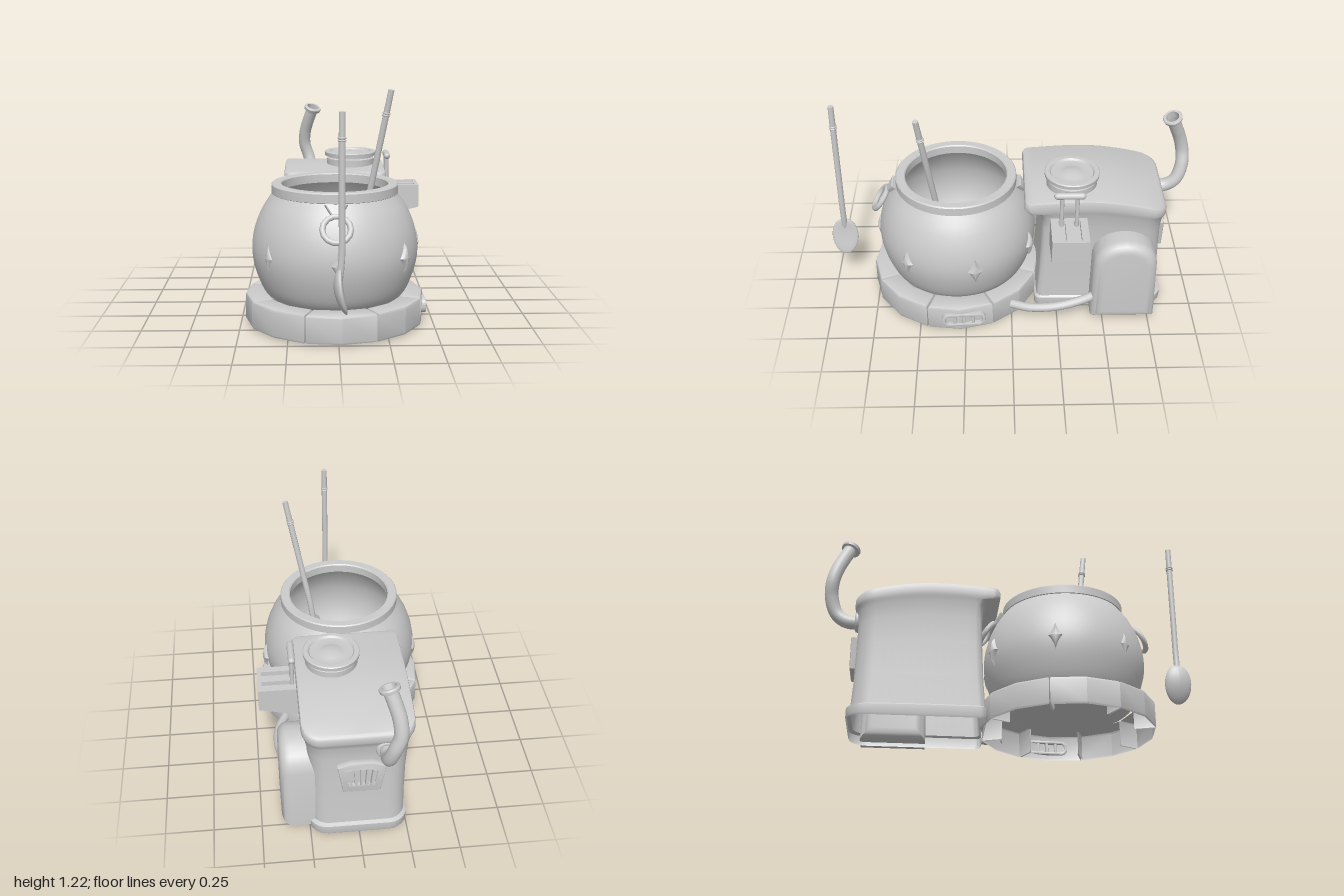
import * as THREE from 'three';
import { toCreasedNormals } from 'three/addons/utils/BufferGeometryUtils.js';
import { RoundedBoxGeometry } from 'three/addons/geometries/RoundedBoxGeometry.js';

const mat = new THREE.MeshStandardMaterial({ color: 0xcccccc, side: THREE.DoubleSide });
const V = (x, y, z) => new THREE.Vector3(x, y, z);

function add(parent, name, geo, x = 0, y = 0, z = 0) {
  const m = new THREE.Mesh(geo, mat);
  m.name = name;
  m.position.set(x, y, z);
  parent.add(m);
  return m;
}
function group(parent, name, x = 0, y = 0, z = 0) {
  const g = new THREE.Group();
  g.name = name;
  g.position.set(x, y, z);
  parent.add(g);
  return g;
}
const vec2s = pts => pts.map(p => new THREE.Vector2(...p));
const poly = pts => new THREE.Shape(vec2s(pts));
const lathe = (pts, n = 48) => toCreasedNormals(new THREE.LatheGeometry(vec2s(pts), n), 0.6);
const tube = (pts, r, n = 32, sides = 14) =>
  new THREE.TubeGeometry(new THREE.CatmullRomCurve3(pts), n, r, sides);

// Extrusion of total thickness d, centred on z = 0, with the bevel kept inside the outline
function slab(shape, d, bevel = 0, segs = 3, crease = 0.6) {
  const geo = new THREE.ExtrudeGeometry(shape, {
    depth: d - 2 * bevel, bevelEnabled: bevel > 0, bevelThickness: bevel,
    bevelSize: bevel, bevelOffset: -bevel, bevelSegments: segs, curveSegments: 10,
  });
  geo.translate(0, 0, bevel - d / 2);
  return toCreasedNormals(geo, crease);
}
function roundedRect(w, h, r, Type = THREE.Shape) {
  const s = new Type(), x = w / 2, y = h / 2;
  s.absarc(x - r, y - r, r, 0, Math.PI / 2);
  s.absarc(-x + r, y - r, r, Math.PI / 2, Math.PI);
  s.absarc(-x + r, -y + r, r, Math.PI, Math.PI * 1.5);
  s.absarc(x - r, -y + r, r, Math.PI * 1.5, Math.PI * 2);
  return s;
}

// Loft, open below, through rounded-rectangle levels [height factor, half width, front z, back z]
function loft(levels, topY) {
  const ring = ([f, w, zf, zb], xScale = 1) => {
    const pts = [], rf = 0.035, rb = 0.095, n = 6, sides = 12;
    for (let i = n; i > 0; i--) {
      const a = i / n * Math.PI / 2;
      pts.push([w - rf + rf * Math.cos(a), zf - rf + rf * Math.sin(a)]);
    }
    for (let i = 0; i < sides; i++) pts.push([w, zf - rf + (zb + rb - zf + rf) * i / sides]);
    for (let i = 0; i <= n; i++) {
      const a = i / n * Math.PI / 2;
      pts.push([w - rb + rb * Math.cos(a), zb + rb - rb * Math.sin(a)]);
    }
    const left = pts.slice().reverse().map(([x, z]) => [-x, z]);
    return [...pts, ...left].map(([x, z]) => [x * xScale, f * topY(z), z]);
  };
  const rings = [...levels.map(l => ring(l)), ring(levels[levels.length - 1], 0)];
  const n = rings[0].length, index = [];
  for (let i = 0; i < rings.length - 1; i++)
    for (let j = 0; j < n; j++) {
      const a = i * n + j, b = i * n + (j + 1) % n;
      index.push(a, b, a + n, b, b + n, a + n);
    }
  const geo = new THREE.BufferGeometry();
  geo.setAttribute('position', new THREE.Float32BufferAttribute(rings.flat(2), 3));
  geo.setIndex(index);
  return toCreasedNormals(geo, 0.7);
}

function buildPot(root) {
  const pot = group(root, 'cauldron', -0.01, 0, 0.296);
  const outer = new THREE.SplineCurve(vec2s([[0, 0.09], [0.2, 0.1], [0.3, 0.125], [0.365, 0.165], [0.411, 0.27],
    [0.431, 0.38], [0.418, 0.49], [0.378, 0.595], [0.322, 0.68]])).getPoints(36).map(p => [Math.max(p.x, 0), p.y]);
  const inner = [[0.28, 0.68], [0.35, 0.59], [0.39, 0.49], [0.4, 0.38], [0.38, 0.28], [0.32, 0.18], [0.2, 0.13], [0, 0.12]];
  add(pot, 'potBody', lathe(outer));
  add(pot, 'potInside', lathe(inner));
  add(pot, 'potRim', lathe([[0.275, 0.68], [0.32, 0.675], [0.328, 0.68], [0.328, 0.724], [0.322, 0.73],
    [0.281, 0.73], [0.275, 0.724], [0.275, 0.68]]));

  // Seven puffy four-pointed stars that follow the curve of the pot
  const starGeo = new THREE.RingGeometry(0.001, 1, 48, 5);
  const p = starGeo.attributes.position;
  const pinch = c => Math.sign(c) * Math.abs(c) ** 2.5;
  for (let i = 0; i < p.count; i++) {
    const r = Math.hypot(p.getX(i), p.getY(i));
    const x = 0.041 * r * pinch(p.getX(i) / r), y = 0.08 * r * pinch(p.getY(i) / r);
    p.setXYZ(i, x, y, 0.02 * Math.sqrt(Math.max(0, 1 - r * r)) - 1.2 * (x * x + y * y));
  }
  starGeo.computeVertexNormals();
  for (let i = 0; i < 7; i++) {
    const a = i * Math.PI * 2 / 7;
    add(pot, 'star', starGeo, 0.008 + Math.sin(a) * 0.43, 0.39, -0.007 + Math.cos(a) * 0.43).rotation.y = a;
  }

  // Hanging rings front and back
  for (const a of [0, Math.PI]) {
    const h = group(pot, 'ringHandle');
    h.rotation.y = a;
    const plate = slab(poly([[-0.056, 0.03], [0.056, 0.03], [0.022, -0.03], [-0.022, -0.03]]), 0.035, 0.006, 1);
    add(h, 'bracket', plate, 0, 0.648, 0.352).rotation.x = -0.6;
    add(h, 'ring', new THREE.TorusGeometry(0.069, 0.015, 8, 14), 0, 0.571, 0.418).rotation.x = -0.6;
  }
}

// Keeps only the triangles whose normal and centre pass the test
function keepFaces(geo, test) {
  const src = geo.attributes.position, tri = new THREE.Triangle(), out = [];
  const n = V(0, 0, 0), c = V(0, 0, 0);
  for (let i = 0; i < src.count; i += 3) {
    tri.setFromAttributeAndIndices(src, i, i + 1, i + 2);
    if (test(tri.getNormal(n), tri.getMidpoint(c))) out.push(...tri.a, ...tri.b, ...tri.c);
  }
  const res = new THREE.BufferGeometry();
  res.setAttribute('position', new THREE.Float32BufferAttribute(out, 3));
  return res;
}

function buildBase(root) {
  const base = group(root, 'baseRing', -0.012, 0, 0.306);
  const at = (a, r) => [Math.sin(a) * r, -Math.cos(a) * r];
  // Eight hollow blocks, each bent once in the middle, open below and towards the pot
  for (let i = 0; i < 8; i++) {
    const a0 = (-64 + 45 * i) * Math.PI / 180, s = Math.PI / 8, g = 0.006;
    const block = slab(poly([at(a0 + g, 0.466), at(a0 + s, 0.466), at(a0 + 2 * s - g, 0.466),
      at(a0 + 2 * s - g, 0.353), at(a0 + s, 0.353), at(a0 + g, 0.353)]), 0.148, 0.013, 2, 0.5);
    block.rotateX(-Math.PI / 2);
    const shell = keepFaces(block, (n, c) => n.y > -0.9 && n.x * c.x + n.z * c.z > -0.25);
    add(base, 'baseBlock', toCreasedNormals(shell, 0.5), 0, 0.081, 0);
  }
  // Vent on the side block
  const vent = group(root, 'baseVent', 0.445, 0.082, 0.26);
  vent.rotation.y = Math.PI / 2 + 0.06;
  const frame = roundedRect(0.235, 0.08, 0.035);
  frame.holes.push(roundedRect(0.2, 0.048, 0.022, THREE.Path));
  add(vent, 'ventFrame', slab(frame, 0.03, 0.005, 2));
  for (const x of [-0.05, 0, 0.05]) add(vent, 'ventBar', new RoundedBoxGeometry(0.016, 0.06, 0.024, 2, 0.005), x);
}

function buildTank(root) {
  const tank = group(root, 'heater');
  // Top line: a short rise behind the lip, then a curved fall to the back
  const topY = z => 0.734 - 0.075 * Math.max(0, (-z - 0.42) / 0.4) ** 1.7 - 0.07 * Math.max(0, 0.3 + z);
  // Foot, waisted wall, overhanging lip and top
  add(tank, 'heaterShell', loft([
    [0, 0.25, -0.134, -0.836], [0.016, 0.254, -0.13, -0.84], [0.08, 0.254, -0.13, -0.84],
    [0.092, 0.244, -0.14, -0.82], [0.3, 0.243, -0.152, -0.812], [0.55, 0.246, -0.16, -0.808],
    [0.75, 0.256, -0.163, -0.806], [0.86, 0.269, -0.158, -0.81], [0.895, 0.277, -0.135, -0.817],
    [0.908, 0.28, -0.085, -0.821], [0.93, 0.283, -0.07, -0.826], [0.975, 0.283, -0.07, -0.826],
    [0.993, 0.279, -0.075, -0.821], [1, 0.268, -0.087, -0.81]], topY));

  add(tank, 'fillerCap', lathe([[0.135, 0.7], [0.135, 0.765], [0.125, 0.77], [0.125, 0.778], [0.145, 0.78], [0.147, 0.8],
    [0.142, 0.805], [0.12, 0.805], [0.112, 0.795], [0.068, 0.79], [0.055, 0.795], [0.03, 0.801], [0, 0.803]]), 0.092, 0, -0.325);

  // Rear grille
  const grille = group(tank, 'rearGrille', -0.01, 0.395, -0.822);
  const frame = poly([[-0.122, 0.07], [-0.055, 0.095], [0.055, 0.095], [0.122, 0.07], [0.095, -0.095], [-0.095, -0.095]]);
  frame.holes.push(new THREE.Path(vec2s([[-0.09, 0.045], [-0.045, 0.062], [0.045, 0.062], [0.09, 0.045], [0.07, -0.065], [-0.07, -0.065]])));
  add(grille, 'grilleFrame', slab(frame, 0.04, 0.008, 2));
  for (let i = -2; i <= 2; i++)
    add(grille, 'grilleBar', new THREE.BoxGeometry(0.015, 0.135, 0.026), i * 0.03).rotation.z = -i * 0.06;

  // Chimney
  const pts = [V(-0.135, 0.55, -0.77), V(-0.132, 0.552, -0.865), V(-0.13, 0.595, -0.925), V(-0.15, 0.68, -0.956),
    V(-0.175, 0.76, -0.955), V(-0.172, 0.84, -0.935), V(-0.15, 0.92, -0.905), V(-0.127, 0.985, -0.879)];
  add(tank, 'chimneyPipe', tube(pts, 0.036, 40, 18));
  add(tank, 'chimneyCollar', new THREE.TorusGeometry(0.042, 0.014, 10, 24), -0.135, 0.55, -0.812);
  const mouth = lathe([[0.032, -0.03], [0.038, -0.014], [0.05, -0.011], [0.053, 0.004], [0.048, 0.011], [0.036, 0.011], [0.032, -0.03]], 24);
  add(tank, 'chimneyMouth', mouth, -0.125, 0.993, -0.876)
    .quaternion.setFromUnitVectors(V(0, 1, 0), V(0.022, 0.075, 0.026).normalize());
}

function buildSideParts(root) {
  // Arched tank on the left flank
  const s = new THREE.Shape();
  s.moveTo(-0.175, -0.25);
  s.lineTo(0.175, -0.25);
  s.lineTo(0.17, 0.11);
  s.bezierCurveTo(0.157, 0.3, -0.157, 0.3, -0.17, 0.11);
  const bottle = slab(s, 0.23, 0.055, 6, 0.8);
  bottle.rotateY(Math.PI / 2);
  add(root, 'sideTank', bottle, 0.279, 0.272, -0.607);
  add(root, 'fuelPipe', tube([V(0.33, 0.15, -0.47), V(0.365, 0.135, -0.38), V(0.385, 0.11, -0.24),
    V(0.37, 0.092, -0.1), V(0.33, 0.085, 0)], 0.024));

  // Slotted box with sloped underside
  const box = group(root, 'slottedBox', 0, 0, -0.302);
  add(box, 'boxBody', slab(poly([[0.22, 0.595], [0.478, 0.595], [0.478, 0.495], [0.22, 0.436]]), 0.195));
  const top = poly([[0.22, -0.0975], [0.478, -0.0975], [0.478, 0.0975], [0.22, 0.0975]]);
  for (const z of [-0.04, 0.04])
    top.holes.push(new THREE.Path(vec2s([[0.29, z - 0.018], [0.29, z + 0.018], [0.457, z + 0.018], [0.457, z - 0.018]])));
  const topGeo = slab(top, 0.026);
  topGeo.rotateX(-Math.PI / 2);
  add(box, 'boxTop', topGeo, 0, 0.608, 0);
  for (const z of [-0.04, 0.04]) add(box, 'handlePost', new THREE.CylinderGeometry(0.011, 0.011, 0.19, 12), 0.298, 0.69, z);
  const bar = new THREE.CapsuleGeometry(0.018, 0.13, 6, 14);
  bar.rotateX(Math.PI / 2);
  add(box, 'handleBar', bar, 0.298, 0.785, 0);
}

// Long spoon with its tip at the origin and the handle along +y
function buildSpoon(root, name) {
  const g = group(root, name);
  const bowl = new THREE.SphereGeometry(1, 28, 20);
  const p = bowl.attributes.position;
  for (let i = 0; i < p.count; i++) {
    const x = p.getX(i), y = p.getY(i), z = p.getZ(i), t = (y + 1) / 2;
    p.setXYZ(i, x * 0.023 - 0.029 + 0.01 * z * z + 0.05 * (1 - t) ** 2 + 0.02 * t ** 3, 0.11 * (1 + y), z * 0.073);
  }
  bowl.computeVertexNormals();
  add(g, 'spoonBowl', bowl);
  add(g, 'spoonHandle', tube([V(-0.014, 0.15, 0), V(-0.006, 0.21, 0), V(0, 0.3, 0), V(0, 0.5, 0), V(0, 0.82, 0)], 0.016));
  add(g, 'spoonGrip', new THREE.CylinderGeometry(0.015, 0.016, 0.125, 14), 0, 0.8825, 0);
  const band = new THREE.TorusGeometry(0.016, 0.0045, 8, 18);
  band.rotateX(Math.PI / 2);
  for (const y of [0.814, 0.826]) add(g, 'spoonBand', band, 0, y, 0);
  return g;
}

export function createModel() {
  const root = new THREE.Group();
  root.name = 'cauldronStove';
  buildPot(root);
  buildBase(root);
  buildTank(root);
  buildSideParts(root);

  buildSpoon(root, 'frontSpoon').position.set(0.01, 0.217, 0.928);
  const inPot = buildSpoon(root, 'potSpoon');
  inPot.position.set(0.09, 0.3, 0.355);
  const Y = V(0.19, 1, 0.13).normalize(), Z = V(0.565, 0, -0.825).normalize();
  inPot.quaternion.setFromRotationMatrix(new THREE.Matrix4().makeBasis(Y.clone().cross(Z), Y, Z));
  return root;
}
